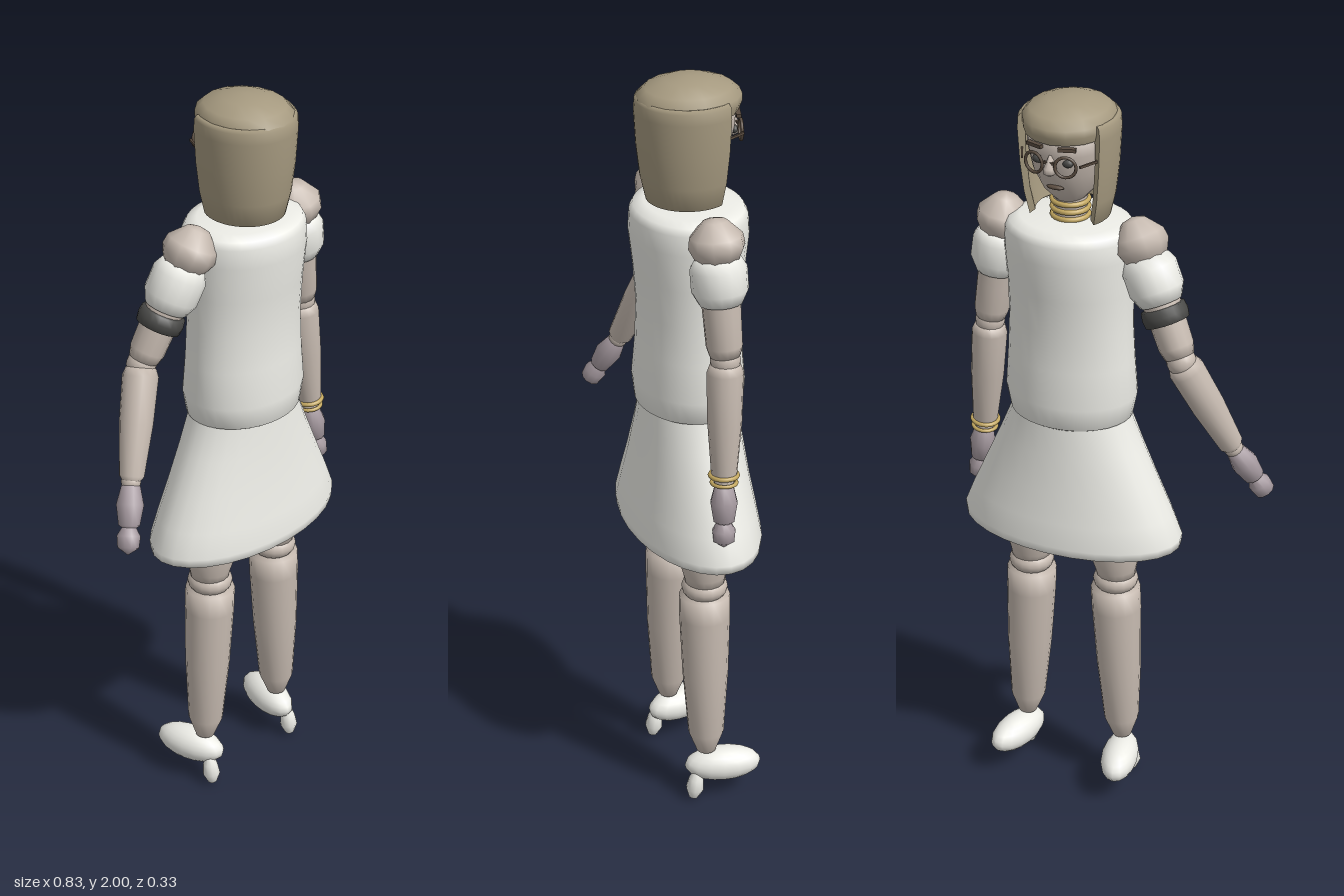
import * as THREE from 'three';
import { mergeVertices } from 'three/addons/utils/BufferGeometryUtils.js';

const mat = (color) => new THREE.MeshStandardMaterial({ color, side: THREE.DoubleSide });
const SKIN = mat(0xc6bab0), CLOTH = mat(0xecece6), HAIR = mat(0xa69a80), HAND = mat(0xa89ca2);
const DARK = mat(0x4a4a48), GOLD = mat(0xc4a860), BROWN = mat(0x5a4c40);
const CX = 0.11; // body axis
const V = (x, y, z) => new THREE.Vector3(x, y, z);

function add(parent, name, geo, material, pos) {
  const m = new THREE.Mesh(geo, material);
  m.name = name;
  if (pos) m.position.copy(pos);
  parent.add(m);
  return m;
}

// Smooth elliptical loft from rows of [y, half width, half depth], bottom to top
function loft(rows, segs = 24) {
  const geo = new THREE.LatheGeometry(rows.map(([y, rx]) => new THREE.Vector2(rx, y)), segs);
  const p = geo.attributes.position;
  for (let i = 0; i < p.count; i++) {
    const [, rx, rz = rx] = rows[i % rows.length];
    if (rx > 0) p.setZ(i, p.getZ(i) * rz / rx);
  }
  geo.deleteAttribute('normal');
  geo.deleteAttribute('uv');
  const merged = mergeVertices(geo, 1e-5);
  merged.computeVertexNormals();
  return merged;
}

// Round limb from a to b; rows are [fraction along, radius]
function limb(parent, name, a, b, rows, material, segs = 14) {
  const dir = b.clone().sub(a), len = dir.length();
  const m = add(parent, name, loft(rows.map(([t, r]) => [t * len, r]), segs), material, a);
  m.quaternion.setFromUnitVectors(V(0, 1, 0), dir.normalize());
  return m;
}

function ball(parent, name, c, rx, ry, rz, material, w = 16, h = 12) {
  const m = add(parent, name, new THREE.SphereGeometry(1, w, h), material, c);
  m.scale.set(rx, ry, rz);
  return m;
}

function ring(parent, name, c, dir, r, tube, material) {
  const m = add(parent, name, new THREE.TorusGeometry(r, tube, 8, 24), material, c);
  m.quaternion.setFromUnitVectors(V(0, 0, 1), dir.clone().normalize());
  return m;
}

function buildArm(name, shoulder, elbow, wrist, tip) {
  const g = new THREE.Group();
  g.name = name;
  const at = (t) => shoulder.clone().lerp(elbow, t);
  limb(g, 'shoulder', at(-0.16), at(0.25),
    [[0, 0], [0.06, 0.03], [0.35, 0.066], [0.55, 0.07], [0.8, 0.055], [1, 0]], SKIN, 10);
  limb(g, 'sleeve', at(0.14), at(0.54),
    [[0, 0], [0.03, 0.055], [0.25, 0.07], [0.7, 0.07], [0.96, 0.054], [1, 0]], CLOTH, 16);
  limb(g, 'upperArm', at(0.3), at(0.98),
    [[0, 0.05], [0.5, 0.047], [0.85, 0.045], [0.97, 0.038], [1, 0]], SKIN);
  ball(g, 'elbow', elbow, 0.038, 0.038, 0.038, SKIN);
  limb(g, 'forearm', elbow, wrist,
    [[0, 0], [0.03, 0.038], [0.1, 0.046], [0.5, 0.043], [0.95, 0.032], [1, 0.022]], SKIN);
  ball(g, 'wrist', wrist, 0.025, 0.025, 0.025, SKIN);
  limb(g, 'palm', wrist, wrist.clone().lerp(tip, 0.7),
    [[0, 0], [0.08, 0.024], [0.45, 0.035], [0.85, 0.027], [1, 0]], HAND, 10);
  limb(g, 'fingers', wrist.clone().lerp(tip, 0.6), tip,
    [[0, 0.016], [0.35, 0.03], [0.75, 0.027], [1, 0]], HAND, 10);
  return g;
}

function buildLeg(side) {
  const g = new THREE.Group();
  g.name = side > 0 ? 'leftLeg' : 'rightLeg';
  const P = (dx, y, z = 0) => V(CX + side * dx, y, z);
  limb(g, 'thigh', P(0.125, 0.65), P(0.11, 0.95),
    [[0, 0], [0.01, 0.05], [0.1, 0.055], [0.25, 0.068], [0.5, 0.072], [1, 0.072]], SKIN, 16);
  ball(g, 'knee', P(0.123, 0.645), 0.06, 0.038, 0.06, SKIN);
  limb(g, 'calf', P(0.143, 0.14), P(0.122, 0.63),
    [[0, 0], [0.01, 0.025], [0.13, 0.047], [0.5, 0.06], [0.85, 0.066], [0.98, 0.066], [1, 0]], SKIN, 16);
  // shoe turned slightly outward, on a small rounded heel
  const shoe = ball(g, 'shoe', P(0.154, 0.098, -0.043), 0.049, 0.047, 0.102, CLOTH);
  shoe.rotation.y = -side * 0.22;
  limb(g, 'heel', P(0.156, 0.002, 0.042), P(0.156, 0.085, 0.03),
    [[0, 0], [0.08, 0.012], [0.4, 0.024], [0.75, 0.02], [1, 0.012]], CLOTH, 10);
  return g;
}

function buildHead() {
  const g = new THREE.Group();
  g.name = 'head';
  g.position.x = CX;
  add(g, 'neck', new THREE.CylinderGeometry(0.042, 0.046, 0.14, 16), SKIN, V(0, 1.71, 0));
  for (const y of [1.685, 1.705, 1.725]) ring(g, 'choker', V(0, y, 0), V(0, 1, 0), 0.045, 0.007, GOLD);
  add(g, 'face', loft([[1.725, 0, 0], [1.735, 0.04, 0.045], [1.765, 0.066, 0.072], [1.82, 0.09, 0.1],
    [1.88, 0.102, 0.114], [1.94, 0.104, 0.116], [1.97, 0, 0]]), SKIN);
  // crown and fringe
  add(g, 'hairCap', loft([[1.915, 0.108, 0.122], [1.935, 0.114, 0.13], [1.955, 0.115, 0.13],
    [1.975, 0.098, 0.108], [1.993, 0.055, 0.06], [2, 0, 0]], 16), HAIR);

  // bob: thick shell open at the face, with closed ends
  const outline = [[0.086, 1.7], [0.1, 1.69], [0.113, 1.75], [0.122, 1.83], [0.127, 1.92], [0.125, 1.948],
    [0.118, 1.957], [0.106, 1.955], [0.107, 1.86], [0.098, 1.76], [0.086, 1.7]]
    .map(([r, y]) => new THREE.Vector2(r, y));
  const bob = new THREE.Group();
  bob.name = 'bob';
  bob.scale.z = 1.06;
  g.add(bob);
  const half = 2.1;
  add(bob, 'hairBack', new THREE.LatheGeometry(outline, 28, -half, 2 * half), HAIR);
  for (const s of [-1, 1])
    add(bob, 'hairEnd', new THREE.ShapeGeometry(new THREE.Shape(outline)), HAIR).rotation.y = s * half - Math.PI / 2;

  // facial features
  for (const s of [-1, 1]) {
    ball(g, 'eye', V(s * 0.04, 1.865, -0.1), 0.014, 0.011, 0.01, DARK, 10, 8);
    ring(g, 'lensFrame', V(s * 0.042, 1.862, -0.118), V(s * 0.25, 0, -1), 0.026, 0.004, BROWN);
    add(g, 'brow', new THREE.BoxGeometry(0.045, 0.009, 0.012), BROWN, V(s * 0.043, 1.905, -0.11)).rotation.y = s * -0.3;
    add(g, 'temple', new THREE.BoxGeometry(0.005, 0.006, 0.07), BROWN, V(s * 0.092, 1.866, -0.08)).rotation.y = s * 0.45;
  }
  add(g, 'bridge', new THREE.BoxGeometry(0.034, 0.006, 0.006), BROWN, V(0, 1.868, -0.121));
  limb(g, 'nose', V(0, 1.83, -0.118), V(0, 1.885, -0.11),
    [[0, 0], [0.15, 0.014], [0.4, 0.016], [1, 0.004]], SKIN, 8).scale.z = 1.4;
  ball(g, 'mouth', V(0, 1.79, -0.087), 0.024, 0.006, 0.009, BROWN, 10, 8);
  return g;
}

export function createModel() {
  const model = new THREE.Group();
  model.name = 'figure';

  // clothes
  add(model, 'top', loft([[1.122, 0, 0], [1.125, 0.135, 0.11], [1.14, 0.162, 0.132], [1.2, 0.174, 0.138],
    [1.3, 0.168, 0.129], [1.4, 0.163, 0.126], [1.5, 0.164, 0.134], [1.6, 0.17, 0.146], [1.65, 0.168, 0.143],
    [1.668, 0.158, 0.134], [1.678, 0.13, 0.108], [1.683, 0, 0]], 32), CLOTH, V(CX, 0, 0));
  add(model, 'skirt', loft([[0.8, 0, 0], [0.79, 0.22, 0.12], [0.776, 0.28, 0.152], [0.782, 0.302, 0.163],
    [0.805, 0.304, 0.166], [0.87, 0.278, 0.155], [0.95, 0.242, 0.141], [1.05, 0.197, 0.128],
    [1.13, 0.163, 0.12], [1.18, 0.15, 0.115]], 28), CLOTH, V(CX, 0, 0));

  model.add(buildHead());
  model.add(buildLeg(-1), buildLeg(1));

  // lowered left arm with bracelet
  const left = buildArm('leftArm', V(0.293, 1.655, 0), V(0.335, 1.345, -0.01), V(0.364, 1.025, 0.002), V(0.392, 0.852, 0.012));
  ring(left, 'bracelet', V(0.362, 1.042, 0.002), V(0.09, -1, 0.04), 0.034, 0.006, GOLD);
  ring(left, 'bracelet', V(0.364, 1.022, 0.002), V(0.09, -1, 0.04), 0.031, 0.005, GOLD);

  // raised right arm with armband
  const shoulder = V(-0.075, 1.655, 0), elbow = V(-0.21, 1.36, -0.045);
  const right = buildArm('rightArm', shoulder, elbow, V(-0.325, 1.1, 0.03), V(-0.4, 0.945, 0.092));
  const band = V(-0.158, 1.472, -0.028);
  const axis = elbow.clone().sub(shoulder).normalize().multiplyScalar(0.022);
  limb(right, 'armband', band.clone().sub(axis), band.clone().add(axis),
    [[0, 0.045], [0.05, 0.057], [0.5, 0.06], [0.95, 0.057], [1, 0.045]], DARK, 20);

  model.add(left, right);
  return model;
}
